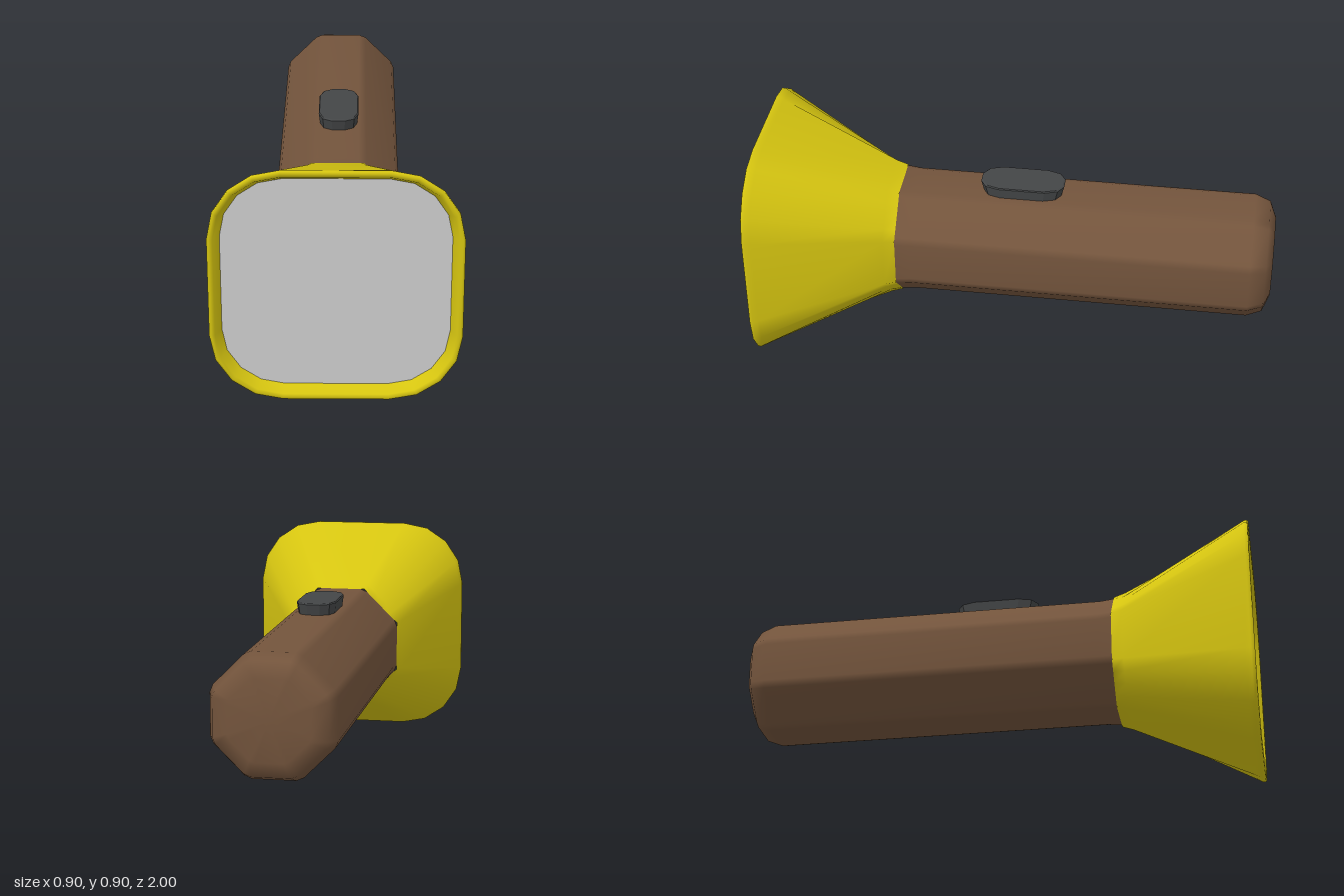
import * as THREE from 'three';

const AXIS_Y = 0.45;

// Skin a stack of counter-clockwise rings; each ring is { z, pts: [[x, y], ...] }
function loft(rings, capStart, capEnd) {
  const n = rings[0].pts.length, pos = [], idx = [];
  for (const r of rings) for (const [x, y] of r.pts) pos.push(x, y, r.z);
  for (let i = 0; i < rings.length - 1; i++) {
    for (let j = 0; j < n; j++) {
      const k = (j + 1) % n;
      const a = i * n + j, b = i * n + k, c = b + n, d = a + n;
      idx.push(a, b, d, b, c, d);
    }
  }
  const cap = (row, flip) => {
    const centre = pos.length / 3;
    pos.push(0, 0, rings[row].z);
    for (let j = 0; j < n; j++) {
      const a = row * n + j, b = row * n + (j + 1) % n;
      if (flip) idx.push(centre, b, a);
      else idx.push(centre, a, b);
    }
  };
  if (capStart) cap(0, true);
  if (capEnd) cap(rings.length - 1, false);
  const g = new THREE.BufferGeometry();
  g.setAttribute('position', new THREE.Float32BufferAttribute(pos, 3));
  g.setIndex(idx);
  g.computeVertexNormals();
  return g;
}

// Octagon with narrowly bevelled corners, h = half width across flats
function octagon(h) {
  const pts = [], bevel = 3.5;
  for (let k = 0; k < 8; k++) {
    for (const s of [-1, 1]) {
      const a = THREE.MathUtils.degToRad(22.5 + 45 * k + s * bevel);
      const r = h / Math.cos(THREE.MathUtils.degToRad(22.5 - bevel));
      pts.push([r * Math.cos(a), r * Math.sin(a)]);
    }
  }
  return pts;
}

// Square with corners going from a straight chamfer (round 0) to an arc (round 1)
function roundedSquare(h, flat, round) {
  const pts = [];
  for (let q = 0; q < 4; q++) {
    const c = Math.cos(q * Math.PI / 2), s = Math.sin(q * Math.PI / 2);
    for (let i = 0; i <= 4; i++) {
      const t = i / 4, a = t * Math.PI / 2, r = h - flat;
      const x = flat + r * THREE.MathUtils.lerp(1 - t, Math.cos(a), round);
      const y = flat + r * THREE.MathUtils.lerp(t, Math.sin(a), round);
      pts.push([x * c - y * s, x * s + y * c]);
    }
  }
  return pts;
}

export function createModel() {
  const group = new THREE.Group();
  const add = (name, geometry, color, y, flatShading = false) => {
    const material = new THREE.MeshStandardMaterial({ color, flatShading });
    const mesh = new THREE.Mesh(geometry, material);
    mesh.name = name;
    mesh.position.y = y;
    group.add(mesh);
    return mesh;
  };

  // Handle with a rounded tail
  const handle = [[-1, 0.15], [-0.975, 0.208], [-0.915, 0.23], [0.4, 0.23], [0.46, 0.236]]
    .map(([z, h]) => ({ z, pts: octagon(h) }));
  add('handle', loft(handle, true, false), 0x73543c, AXIS_Y);

  // Flared head: octagon at the handle, rounded square at the rim, turned inward to the lens
  const head = [
    [0.455, 0.236, 0.098, 0], [0.5, 0.25, 0.102, 0.08], [0.965, 0.44, 0.186, 0.97],
    [0.985, 0.448, 0.19, 1], [0.997, 0.448, 0.19, 1], [1, 0.44, 0.19, 1],
    [0.998, 0.427, 0.188, 1], [0.96, 0.405, 0.185, 1], [0.95, 0.405, 0.185, 1],
  ].map(([z, h, flat, round]) => ({ z, pts: roundedSquare(h, flat, round) }));
  add('head', loft(head, false, false), 0xd6c510, AXIS_Y);

  // Lens set just inside the rim
  const outline = roundedSquare(0.405, 0.185, 1).map(([x, y]) => new THREE.Vector2(x, y));
  add('lens', new THREE.ShapeGeometry(new THREE.Shape(outline)), 0xcccccc, AXIS_Y).position.z = 0.96;

  // Switch: a long button that widens toward its top
  const quarter = [[0.077, 0.09], [0.061, 0.14], [0.025, 0.162]];
  const button = [
    ...quarter,
    ...quarter.map(([x, y]) => [-x, y]).reverse(),
    ...quarter.map(([x, y]) => [-x, -y]),
    ...quarter.map(([x, y]) => [x, -y]).reverse(),
  ];
  const scaled = (z, s) => ({ z, pts: button.map(([x, y]) => [x * s, y * s]) });
  const switchGeometry = loft([scaled(-0.02, 0.9), scaled(0.042, 1), scaled(0.046, 0.96)], true, true);
  switchGeometry.rotateX(-Math.PI / 2);
  add('switch', switchGeometry, 0x444647, 0.68, true).position.z = -0.018;

  return group;
}
